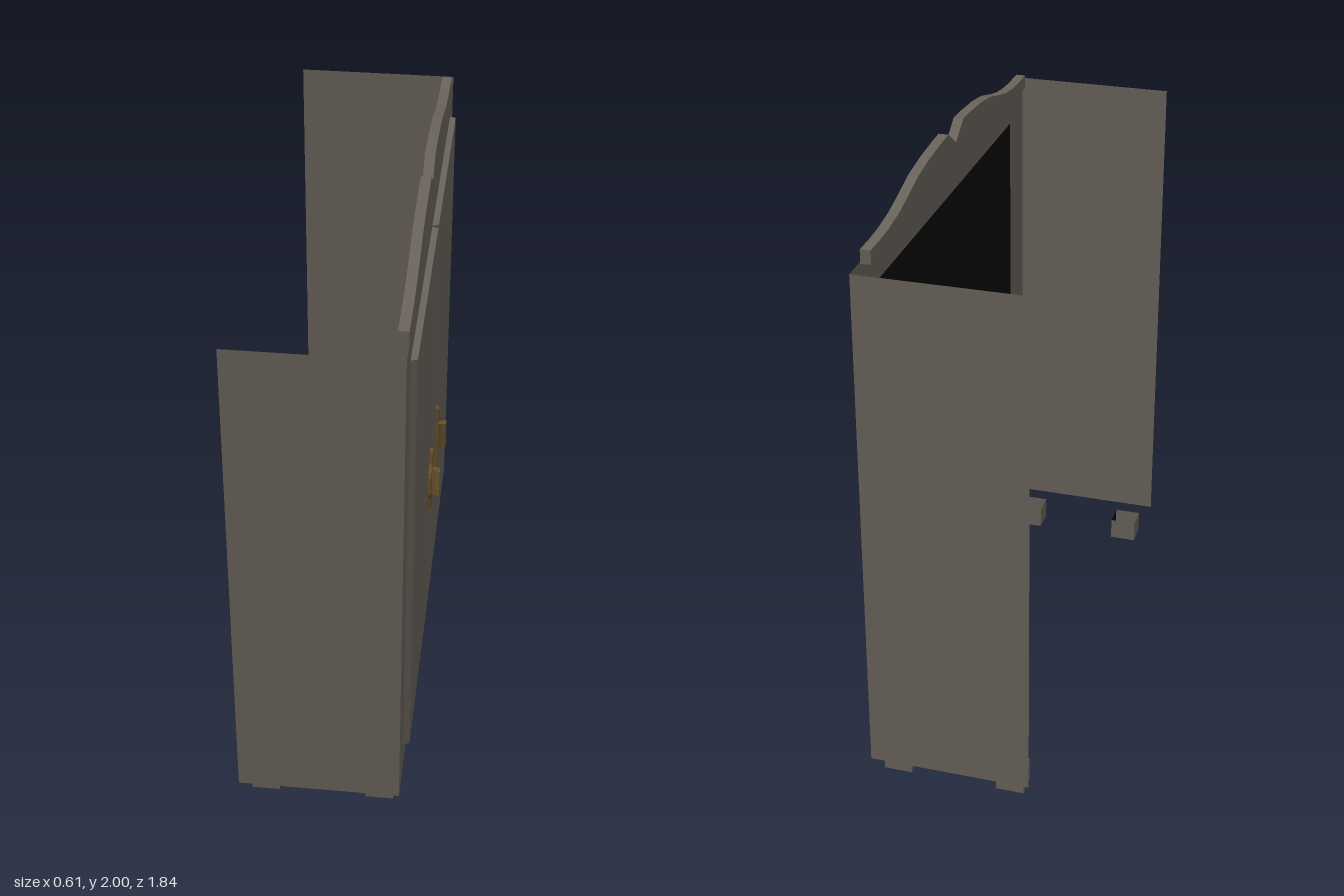
import * as THREE from 'three';

const mat = (name, color, side = THREE.DoubleSide) => {
  const m = new THREE.MeshStandardMaterial({ color, side });
  m.name = name;
  return m;
};

export function createModel() {
  const wood = mat('grey brown wood', 0x6b645c);
  const dark = mat('dark interior', 0x090909);
  const brass = mat('old brass', 0x66502a);

  // The cabinet is built facing +z, then turned so that its doors face +x.
  const root = new THREE.Group();
  root.name = 'wardrobe';
  const cabinet = new THREE.Group();
  cabinet.name = 'cabinet';
  cabinet.rotation.y = Math.PI / 2;
  root.add(cabinet);

  const add = (name, geo, material, x = 0, y = 0, z = 0, parent = cabinet) => {
    const m = new THREE.Mesh(geo, material);
    m.name = name;
    m.position.set(x, y, z);
    parent.add(m);
    return m;
  };
  const outline = (pts) => new THREE.Shape(pts.map(([x, y]) => new THREE.Vector2(x, y)));
  const rect = (w, y0, y1) => [[-w, y0], [w, y0], [w, y1], [-w, y1]];
  const extrude = (pts, depth) =>
    new THREE.ExtrudeGeometry(outline(pts), { depth, bevelEnabled: false });

  // Thin face frame with the door opening
  const frame = outline(rect(0.922, 0.08, 1.865));
  frame.holes.push(outline(rect(0.75, 0.2, 1.745)));
  add('faceFrame', new THREE.ShapeGeometry(frame), wood, 0, 0, 0.245);
  add('innerPanel', new THREE.PlaneGeometry(1.5, 1.545), dark, 0, 0.9725, 0.244);

  // Thin side walls
  for (const s of [-1, 1]) {
    const wall = add('sideWall', new THREE.PlaneGeometry(0.55, 1.785), wood, s * 0.922, 0.9725, -0.03);
    wall.rotation.y = s * Math.PI / 2;
  }

  // Scalloped crest
  const half = [[0.08, 2], [0.16, 1.997], [0.28, 1.988], [0.39, 1.972], [0.49, 1.944],
    [0.58, 1.922], [0.67, 1.91], [0.75, 1.906], [0.832, 1.906], [0.832, 1.86]];
  const mirrored = half.map(([x, y]) => [-x, y]).reverse();
  add('crest', extrude([...mirrored, [0, 1.945], ...half], 0.034), wood, 0, 0, 0.21);

  // Doors with slightly bevelled upright edges
  const doorGeo = new THREE.BoxGeometry(0.782, 1.585, 0.021);
  const p = doorGeo.attributes.position;
  for (let i = 0; i < p.count; i++) {
    if (p.getZ(i) > 0) p.setX(i, p.getX(i) - Math.sign(p.getX(i)) * 0.008);
  }
  doorGeo.computeVertexNormals();

  // Handle: stepped back plate and a raised grip, bulging away from the gap
  const plate = [[0.116, 0.71], [0.14, 0.71], [0.148, 0.76], [0.172, 0.782], [0.18, 0.8],
    [0.18, 0.875], [0.172, 0.892], [0.148, 0.91], [0.14, 0.958], [0.116, 0.958]];
  const grip = [[0.122, 0], [0.142, 0], [0.148, 0.022], [0.156, 0.036], [0.13, 0.036], [0.128, 0.02]];

  for (const s of [-1, 1]) {
    add('door', doorGeo, wood, s * 0.395, 0.9825, 0.2555);
    const handle = new THREE.Group();
    handle.name = 'handle';
    cabinet.add(handle);
    const flip = (pts) => pts.map(([x, y]) => [s * x, y]);
    add('handlePlate', extrude(flip(plate), 0.011), brass, 0, 0, 0.266, handle);
    const g = add('handleGrip', extrude(flip(grip), 0.106), brass, 0, 0.886, 0.268, handle);
    g.rotation.x = Math.PI / 2;
  }

  // Feet: four walls each, open above and below
  for (const s of [-1, 1]) {
    for (const z of [-0.222, 0.172]) {
      const foot = new THREE.Group();
      foot.name = 'foot';
      foot.position.set(s * 0.82, 0.04, z);
      cabinet.add(foot);
      for (let k = 0; k < 4; k++) {
        const across = k % 2 === 0;
        const w = new THREE.PlaneGeometry(across ? 0.084 : 0.096, 0.08);
        w.translate(0, 0, across ? 0.048 : 0.042);
        const wall = add('footWall', w, k === 0 && z < 0 ? dark : wood, 0, 0, 0, foot);
        wall.rotation.y = k * Math.PI / 2;
      }
    }
  }
  return root;
}
